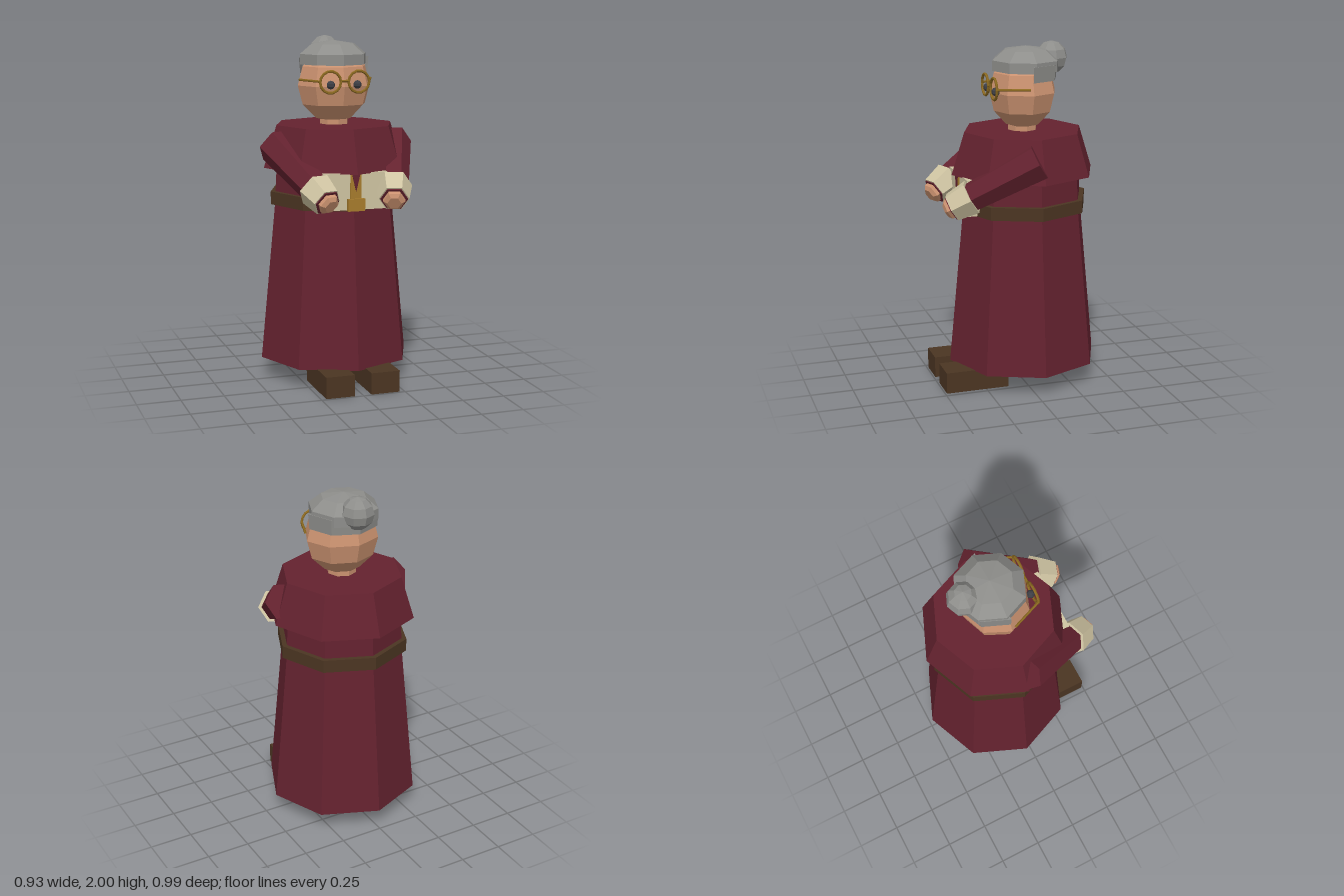
import * as THREE from 'three';

const flat = (name, color, side = THREE.FrontSide) =>
  new THREE.MeshStandardMaterial({ name, color, side, flatShading: true });

export function createModel() {
  const root = new THREE.Group();
  root.name = 'robedElder';
  const red = flat('wine red cloth', 0x64222f);
  const skin = flat('skin', 0xcb9270);
  const hair = flat('grey hair', 0x8e8e8b, THREE.DoubleSide);
  const cream = flat('cream linen', 0xcfc4a2);
  const brown = flat('brown leather', 0x4b3522);
  const gold = flat('gold', 0xa67c2c);
  const brass = flat('brass wire', 0x8a6820);
  const dark = flat('dark grey', 0x3e3f45);

  const add = (name, geo, mat, x = 0, y = 0, z = 0, parent = root) => {
    const m = new THREE.Mesh(geo, mat);
    m.name = name;
    m.position.set(x, y, z);
    parent.add(m);
    return m;
  };
  // Upright eight-sided cone section between two heights
  const ring = (name, mat, y0, y1, r0, r1, x = 0, z = -0.04) =>
    add(name, new THREE.CylinderGeometry(r1, r0, y1 - y0, 8), mat, x, (y0 + y1) / 2, z);
  const box = (name, mat, w, h, d, x, y, z) =>
    add(name, new THREE.BoxGeometry(w, h, d), mat, x, y, z);
  // Thin rod between two points
  const rod = (name, mat, a, b, r) => {
    const A = new THREE.Vector3(...a), B = new THREE.Vector3(...b);
    return add(name, new THREE.TubeGeometry(new THREE.LineCurve3(A, B), 1, r, 6), mat);
  };

  // Robe, cape and belt
  ring('robe', red, 0.12, 1.03, 0.45, 0.362);
  ring('torso', red, 1.03, 1.26, 0.362, 0.35);
  ring('cape', red, 1.25, 1.495, 0.427, 0.35);
  ring('belt', brown, 1.035, 1.11, 0.387, 0.387);

  // Shirt front with clasp strip, neck notch and buckle
  box('shirtFront', cream, 0.38, 0.21, 0.06, 0, 1.15, 0.318);
  box('claspStrip', gold, 0.064, 0.17, 0.008, 0, 1.165, 0.352);
  const notch = new THREE.Shape([[-0.024, 0.1], [0, 0], [0.024, 0.1]].map(p => new THREE.Vector2(...p)));
  add('notch', new THREE.ExtrudeGeometry(notch, { depth: 0.005, bevelEnabled: false }), red, 0, 1.15, 0.356);
  box('buckle', gold, 0.1, 0.07, 0.04, 0, 1.075, 0.35);

  // Neck and head
  ring('neck', skin, 1.48, 1.56, 0.085, 0.085);
  add('head', new THREE.SphereGeometry(0.22, 8, 6), skin, 0, 1.72, -0.04).scale.z = 0.9;

  // Hair: cap, lower back and bun
  const cap = [[0, 1.84], [0.2, 1.84], [0.2, 1.9], [0.13, 1.957], [0, 1.978]];
  add('hairCap', new THREE.LatheGeometry(cap.map(p => new THREE.Vector2(...p)), 8), hair, 0, 0, -0.06);
  add('hairBack', new THREE.CylinderGeometry(0.212, 0.205, 0.09, 4, 1, false, Math.PI / 2, Math.PI),
    hair, 0, 1.835, -0.04);
  add('bun', new THREE.SphereGeometry(0.095, 8, 6), hair, 0, 1.905, -0.215);

  // Glasses bridge
  rod('bridge', brass, [-0.025, 1.755, 0.157], [0.025, 1.755, 0.157], 0.008);

  for (const s of [-1, 1]) {
    const side = s > 0 ? 'left' : 'right';
    // Eyes, rims and temples
    add(side + 'Eye', new THREE.SphereGeometry(0.025, 6, 5), dark, s * 0.08, 1.733, 0.145);
    add(side + 'Rim', new THREE.TorusGeometry(0.062, 0.008, 6, 14), brass, s * 0.085, 1.75, 0.157);
    rod(side + 'Temple', brass, [s * 0.147, 1.755, 0.157], [s * 0.217, 1.755, -0.02], 0.007);

    // Arm: six-sided pieces along one axis from shoulder to hand
    const from = new THREE.Vector3(s * 0.36, 1.38, -0.025);
    const to = new THREE.Vector3(s * 0.19, 1.1, 0.46);
    const len = from.distanceTo(to);
    const arm = new THREE.Group();
    arm.name = side + 'Arm';
    arm.position.copy(from);
    arm.lookAt(to);
    root.add(arm);
    const piece = (name, mat, t0, t1, r0, r1) => {
      const g = new THREE.CylinderGeometry(r1, r0, (t1 - t0) * len, 6, 1, false, Math.PI / 6);
      add(side + name, g.rotateX(Math.PI / 2), mat, 0, 0, (t0 + t1) / 2 * len, arm);
    };
    piece('Sleeve', red, 0, 0.965, 0.11, 0.078);
    piece('Cuff', cream, 0.74, 0.955, 0.105, 0.086);
    piece('Hand', skin, 0.9, 1.0, 0.066, 0.062);
    piece('Knuckles', skin, 1.0, 1.03, 0.062, 0.04);

    // Shoes and the feet pads behind them
    box(side + 'Shoe', brown, 0.17, 0.125, 0.375, s * 0.135, 0.0625, 0.3025);
    ring(side + 'Pad', dark, 0.075, 0.125, 0.09, 0.09, s * 0.135, -0.04);
    ring(side + 'PadSole', dark, 0.062, 0.075, 0.068, 0.09, s * 0.135, -0.04);
  }
  return root;
}
